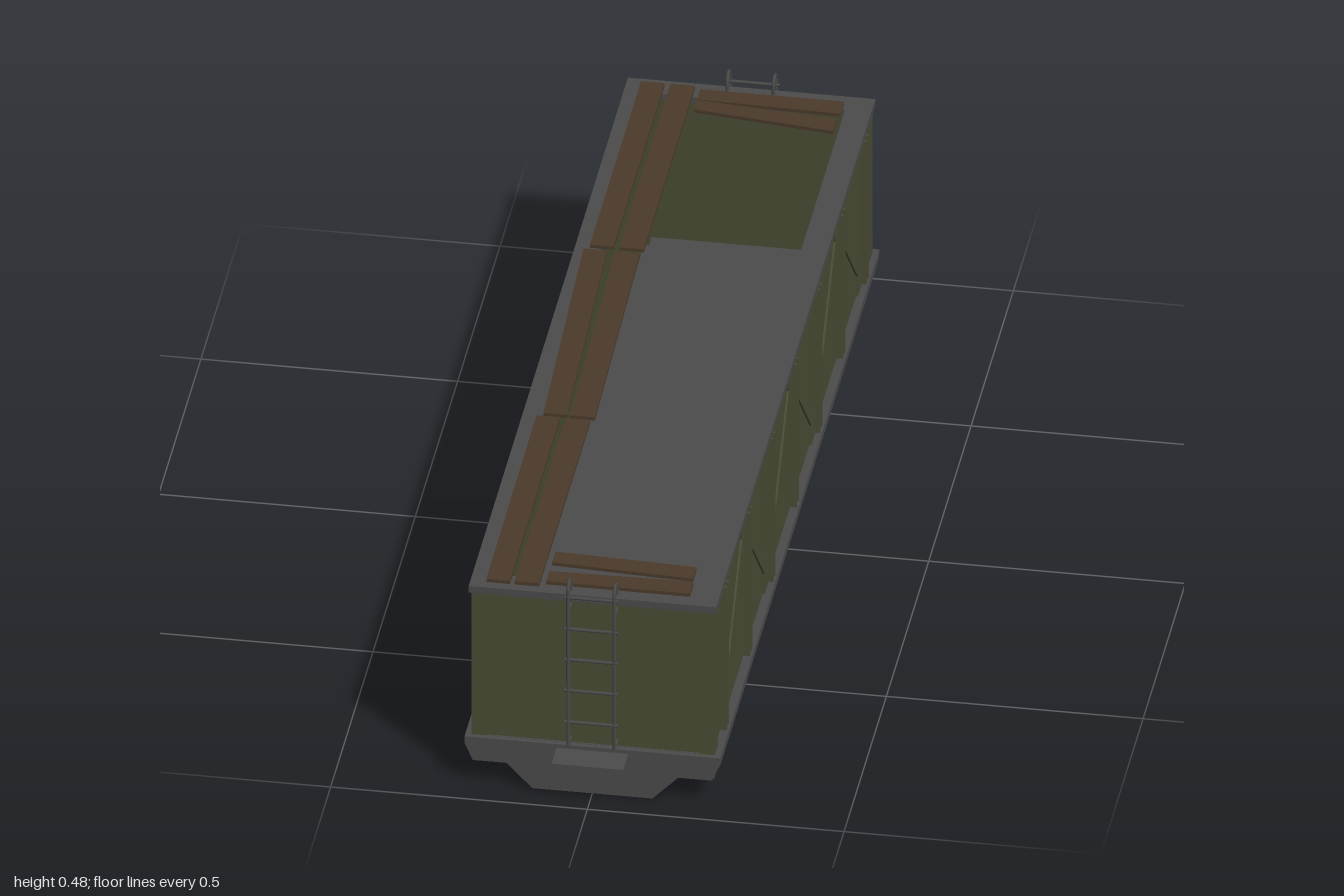
import * as THREE from 'three';

const mat = (name, color, side = THREE.FrontSide) => {
  const m = new THREE.MeshStandardMaterial({ color, side });
  m.name = name;
  return m;
};

export function createModel() {
  const root = new THREE.Group();
  root.name = 'openWagonBody';
  const green = mat('olive paint', 0x4a4d35);
  const grey = mat('dark steel', 0x4b4b4b);
  const brown = mat('weathered wood', 0x4b3a2b);

  const add = (name, geo, m, parent = root) => {
    const mesh = new THREE.Mesh(geo, m);
    mesh.name = name;
    parent.add(mesh);
    return mesh;
  };
  // Box given by its limits on each axis
  const box = (name, m, [x0, x1], [y0, y1], [z0, z1], parent = root) =>
    add(name, new THREE.BoxGeometry(x1 - x0, y1 - y0, z1 - z0)
      .translate((x0 + x1) / 2, (y0 + y1) / 2, (z0 + z1) / 2), m, parent);
  const shapeOf = pts => new THREE.Shape(pts.map(p => new THREE.Vector2(...p)));
  const extrude = (pts, depth) =>
    new THREE.ExtrudeGeometry(shapeOf(pts), { depth, bevelEnabled: false });
  // Plate outlined in (z, y), filling x0 .. x0 + t
  const sidePlate = (name, m, pts, x0, t) =>
    add(name, extrude(pts, t).rotateY(-Math.PI / 2).translate(x0 + t, 0, 0), m);
  // Plate outlined in (x, y), centred on z
  const crossPlate = (name, m, pts, z, t, parent = root) =>
    add(name, extrude(pts, t).translate(0, 0, z - t / 2), m, parent);
  const mirrored = half => [...half, ...half.map(([x, y]) => [-x, y]).reverse()];

  // Floor
  box('floor', grey, [-0.235, 0.235], [0.092, 0.105], [-0.93, 0.93]);

  // Long sides
  const posts = [-0.825, -0.55, -0.275, 0, 0.275, 0.55, 0.825];
  for (const s of [-1, 1]) {
    const span = (a, b) => (s > 0 ? [a, b] : [-b, -a]);
    box('sideWall', green, span(0.222, 0.232), [0.105, 0.43], [-0.925, 0.925]);
    box('sideTopBand', green, span(0.232, 0.236), [0.412, 0.43], [-0.925, 0.925]);
    box('sideRim', grey, span(0.19, 0.241), [0.43, 0.445], [-0.94, 0.94]);
    box('sideLedge', grey, span(0.225, 0.249), [0.088, 0.105], [-0.935, 0.935]);
    box('sideSill', grey, span(0.226, 0.236), [0.053, 0.09], [-0.935, 0.935]);
    box('sillFlange', grey, span(0.205, 0.236), [0.053, 0.06], [-0.935, 0.935]);
    for (const z of posts) {
      box('postWeb', green, span(0.23, 0.239), [0.105, 0.428], [z - 0.013, z + 0.013]);
      for (const e of [-0.011, 0.011])
        box('postFlange', green, span(0.23, 0.245), [0.105, 0.428], [z + e - 0.003, z + e + 0.003]);
      box('innerPost', green, span(0.2, 0.224), [0.105, 0.43], [z - 0.02, z + 0.02]);
    }
    for (const e of [-1, 1]) {
      const lim = (a, b) => (e > 0 ? [a, b] : [-b, -a]);
      box('cornerSideStrip', green, span(0.23, 0.237), [0.105, 0.43], lim(0.895, 0.931));
      box('innerCornerPost', green, span(0.19, 0.224), [0.105, 0.43], lim(0.885, 0.925));
    }
    // Diagonal braces with gussets, one per bay
    for (let i = 0; i < 6; i++) {
      const low = i % 2 ? posts[i + 1] : posts[i];
      const dir = i % 2 ? -1 : 1;
      const brace = [[0, 0.105], [0.06, 0.105], [0.06, 0.15], [0.275, 0.37], [0.275, 0.425],
        [0.215, 0.425], [0.225, 0.39], [0.02, 0.16], [0, 0.16]];
      sidePlate('diagonalBrace', green, brace.map(([u, y]) => [low + dir * u, y]),
        s > 0 ? 0.231 : -0.236, 0.005);
    }
    // Fish-bellied centre sills
    const belly = mirrored([[0.93, 0.095], [0.93, 0.028], [0.76, 0.028], [0.68, 0.055],
      [0.55, 0.055], [0.46, 0.028]]);
    sidePlate('centreSill', grey, belly, s * 0.1 - 0.005, 0.01);
    const flange = mirrored([[0.93, 0.034], [0.93, 0.028], [0.76, 0.028], [0.68, 0.055],
      [0.55, 0.055], [0.46, 0.028]]).slice(1, -1);
    const thick = [...flange, ...flange.map(([z, y]) => [z, y + 0.006]).reverse()];
    sidePlate('centreSillFlange', grey, thick, s * 0.1 - 0.02, 0.04);
  }

  // Cross-bearers under the floor
  for (const z of [-0.825, -0.275, 0, 0.275, 0.825]) {
    const edge = [[0.228, 0.056], [0.17, 0.05], [0.115, 0.014]];
    crossPlate('crossBearer', grey, mirrored([[0.228, 0.095], ...edge]), z, 0.01);
    const low = mirrored(edge);
    crossPlate('crossBearerFlange', grey,
      [...low, ...low.map(([x, y]) => [x, y + 0.007]).reverse()], z, 0.032);
  }
  for (const z of [-0.55, 0.55])
    box('shallowCrossBearer', grey, [-0.228, 0.228], [0.062, 0.094], [z - 0.008, z + 0.008]);

  // Both ends: wall, rim, headstock, step and ladder
  for (const turn of [0, Math.PI]) {
    const end = new THREE.Group();
    end.name = turn ? 'backEnd' : 'frontEnd';
    end.rotation.y = turn;
    root.add(end);
    box('endWall', green, [-0.232, 0.232], [0.105, 0.43], [0.915, 0.927], end);
    box('endRim', grey, [-0.19, 0.19], [0.43, 0.445], [0.89, 0.94], end);
    for (const s of [-1, 1])
      box('cornerEndStrip', green, s > 0 ? [0.207, 0.237] : [-0.237, -0.207],
        [0.105, 0.43], [0.925, 0.931], end);
    crossPlate('headstock', grey, mirrored([[0.249, 0.105], [0.249, 0.09], [0.233, 0.053],
      [0.167, 0.053], [0.117, 0.001]]), 0.936, 0.01, end);
    box('step', grey, [-0.07, 0.07], [0.089, 0.097], [0.94, 1], end);

    for (const x of [-0.045, 0.045]) {
      box('stepBracket', grey, [x - 0.004, x + 0.004], [0.037, 0.086], [0.938, 0.948], end);
      const path = new THREE.CurvePath();
      const v = (y, z) => new THREE.Vector3(x, y, z);
      path.add(new THREE.LineCurve3(v(0.112, 0.954), v(0.455, 0.956)));
      path.add(new THREE.CubicBezierCurve3(v(0.455, 0.956), v(0.485, 0.956), v(0.485, 0.924), v(0.455, 0.924)));
      path.add(new THREE.LineCurve3(v(0.455, 0.924), v(0.44, 0.924)));
      add('ladderRail', new THREE.TubeGeometry(path, 60, 0.0035, 6), grey, end);
      for (const y of [0.116, 0.415])
        box('ladderBracket', grey, [x - 0.003, x + 0.003], [y - 0.003, y + 0.003], [0.925, 0.955], end);
    }
    for (const y of [0.167, 0.238, 0.308, 0.377, 0.448])
      add('ladderRung', new THREE.CylinderGeometry(0.0034, 0.0034, 0.104, 6)
        .rotateZ(Math.PI / 2).translate(0, y, 0.955), grey, end);
  }

  // Loose planks on the rim: corners as [x, z]
  const plank = pts => add('plank', extrude(pts.map(([x, z]) => [x, -z]), 0.007)
    .rotateX(-Math.PI / 2).translate(0, 0.445, 0), brown);
  for (const [z0, z1, a0, a1, b0, b1] of [
    [-0.92, -0.315, -0.212, -0.212, -0.155, -0.155],
    [-0.3, 0.305, -0.222, -0.2, -0.16, -0.148],
    [0.315, 0.92, -0.212, -0.21, -0.155, -0.155],
  ]) {
    plank([[a0, z0], [a0 + 0.046, z0], [a1 + 0.046, z1], [a1, z1]]);
    plank([[b0, z0], [b0 + 0.048, z0], [b1 + 0.048, z1], [b1, z1]]);
  }
  for (const s of [-1, 1]) {
    plank([[-0.095, s * 0.91], [0.185, s * 0.91], [0.185, s * 0.865], [-0.095, s * 0.872]]);
    const inner = s < 0 ? [-0.87, -0.835, -0.845, -0.8] : [0.8, 0.84, 0.812, 0.855];
    plank([[-0.095, inner[0]], [-0.095, inner[1]], [0.182, inner[3]], [0.182, inner[2]]]);
  }

  return root;
}
